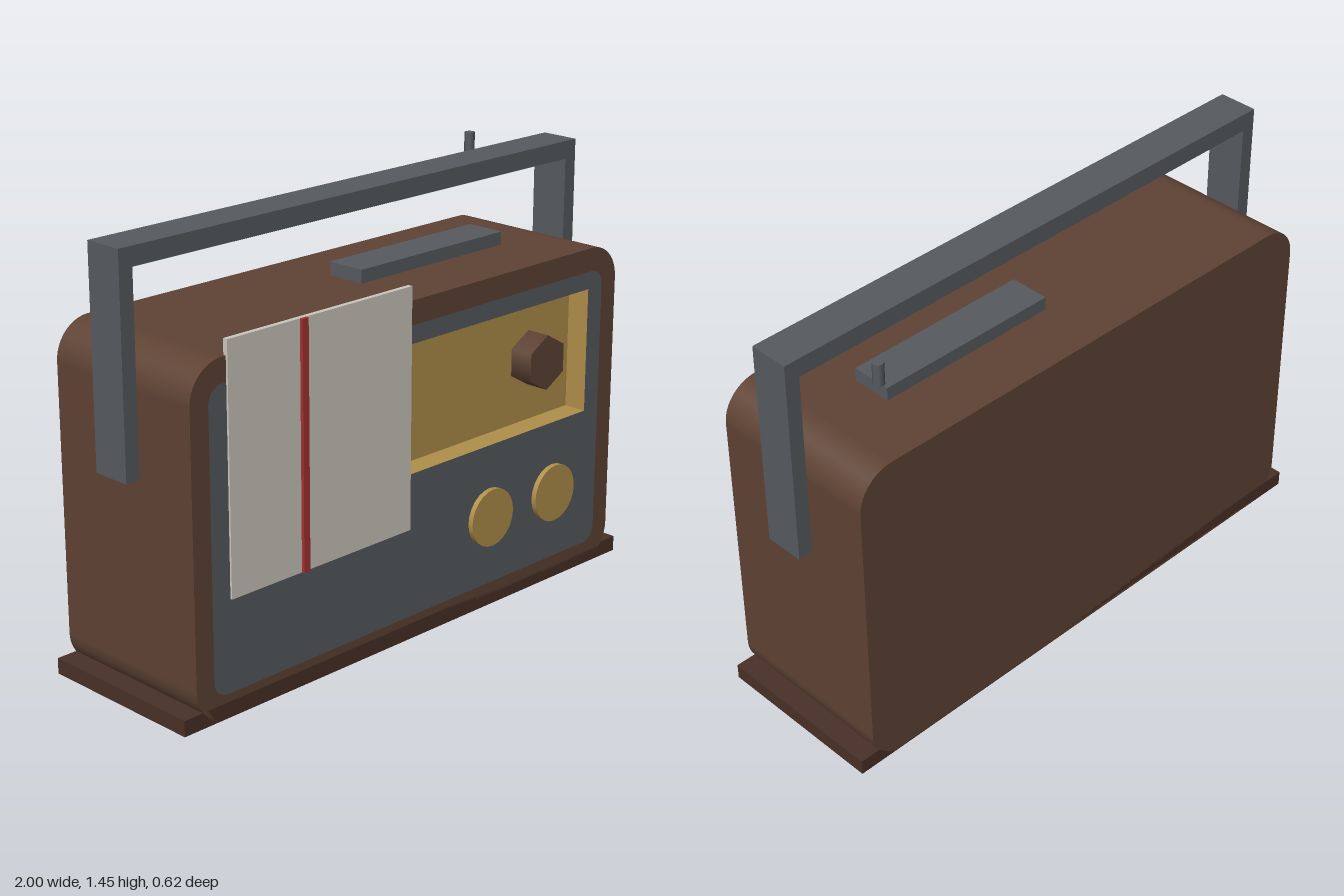
import * as THREE from 'three';

const material = (color) => new THREE.MeshStandardMaterial({ color });
const brown = material(0x5f4334);
const darkBrown = material(0x4a3127);
const grey = material(0x575b60);
const gold = material(0xb08f4a);
const cream = material(0xcbc8be);
const red = material(0xa63232);

// Rounded rectangle outline, as a shape or as a hole
function roundedRect(x0, x1, y0, y1, r, Type = THREE.Shape) {
  const s = new Type();
  s.moveTo(x0 + r, y0);
  s.lineTo(x1 - r, y0);
  s.absarc(x1 - r, y0 + r, r, -Math.PI / 2, 0);
  s.lineTo(x1, y1 - r);
  s.absarc(x1 - r, y1 - r, r, 0, Math.PI / 2);
  s.lineTo(x0 + r, y1);
  s.absarc(x0 + r, y1 - r, r, Math.PI / 2, Math.PI);
  s.lineTo(x0, y0 + r);
  s.absarc(x0 + r, y0 + r, r, Math.PI, Math.PI * 1.5);
  return s;
}

function rect(x0, x1, y0, y1) {
  return new THREE.Path([[x0, y0], [x1, y0], [x1, y1], [x0, y1], [x0, y0]]
    .map(([x, y]) => new THREE.Vector2(x, y)));
}

export function createModel() {
  const model = new THREE.Group();
  model.name = 'radio';

  const add = (name, geometry, mat, parent = model) => {
    const mesh = new THREE.Mesh(geometry, mat);
    mesh.name = name;
    parent.add(mesh);
    return mesh;
  };
  // Box given by its limits on each axis
  const box = (name, [x0, x1], [y0, y1], [z0, z1], mat, parent) =>
    add(name, new THREE.BoxGeometry(x1 - x0, y1 - y0, z1 - z0), mat, parent)
      .position.set((x0 + x1) / 2, (y0 + y1) / 2, (z0 + z1) / 2);
  // Shape extruded between two depths
  const slab = (name, shape, z0, z1, mat) => {
    const geometry = new THREE.ExtrudeGeometry(shape, { depth: z1 - z0, bevelEnabled: false, curveSegments: 10 });
    add(name, geometry.translate(0, 0, z0), mat);
  };
  // Knob facing the front
  const knob = (name, x, y, r, z0, z1, sides, mat) => {
    const geometry = new THREE.CylinderGeometry(r, r, z1 - z0, sides).rotateX(Math.PI / 2);
    add(name, geometry, mat).position.set(x, y, (z0 + z1) / 2);
  };

  // Case: solid back and a front rim
  const back = -0.31, inner = 0.2, front = 0.292;
  const caseOutline = () => roundedRect(-0.95, 0.95, 0, 1.14, 0.125);
  slab('caseBody', caseOutline(), back, inner, brown);
  const rim = caseOutline();
  rim.holes.push(roundedRect(-0.88, 0.88, 0.08, 1.06, 0.055, THREE.Path));
  slab('caseRim', rim, inner, front, brown);

  // Front panel with a gold-lined dial window
  const panel = roundedRect(-0.88, 0.88, 0.08, 1.06, 0.055);
  panel.holes.push(rect(-0.81, 0.81, 0.57, 1.0));
  slab('frontPanel', panel, inner, front, [grey, gold]);
  box('dialFace', [-0.81, 0.81], [0.57, 1.0], [inner - 0.01, 0.21], gold);

  // Controls
  knob('tuningKnob', 0.605, 0.79, 0.095, 0.2, 0.295, 6, brown);
  for (const x of [0.333, 0.647]) knob('roundKnob', x, 0.32, 0.1, front - 0.01, 0.31, 24, gold);
  box('topButton', [-0.02, 0.64], [1.13, 1.185], [-0.09, 0.05], grey);

  // Speaker cover with its stripe
  box('speakerCover', [-0.81, -0.05], [0.385, 1.19], [0.282, 0.299], cream);
  box('coverStripe', [-0.525, -0.5], [0.385, 1.19], [0.298, 0.31], red);

  // Base plate
  box('basePlate', [-1, 1], [0, 0.053], [back, front], darkBrown);

  // Carrying handle
  const handle = new THREE.Group();
  handle.name = 'handle';
  model.add(handle);
  const depth = [-0.077, 0.06];
  box('handleBar', [-1, 1], [1.383, 1.445], depth, grey, handle);
  box('handleArmRight', [-1, -0.95], [0.735, 1.383], depth, grey, handle);
  box('handleArmLeft', [0.95, 1], [0.735, 1.383], depth, grey, handle);

  // Aerial tip
  add('aerialTip', new THREE.CylinderGeometry(0.018, 0.018, 0.075, 8), grey).position.set(0.807, 1.413, -0.25);

  return model;
}
